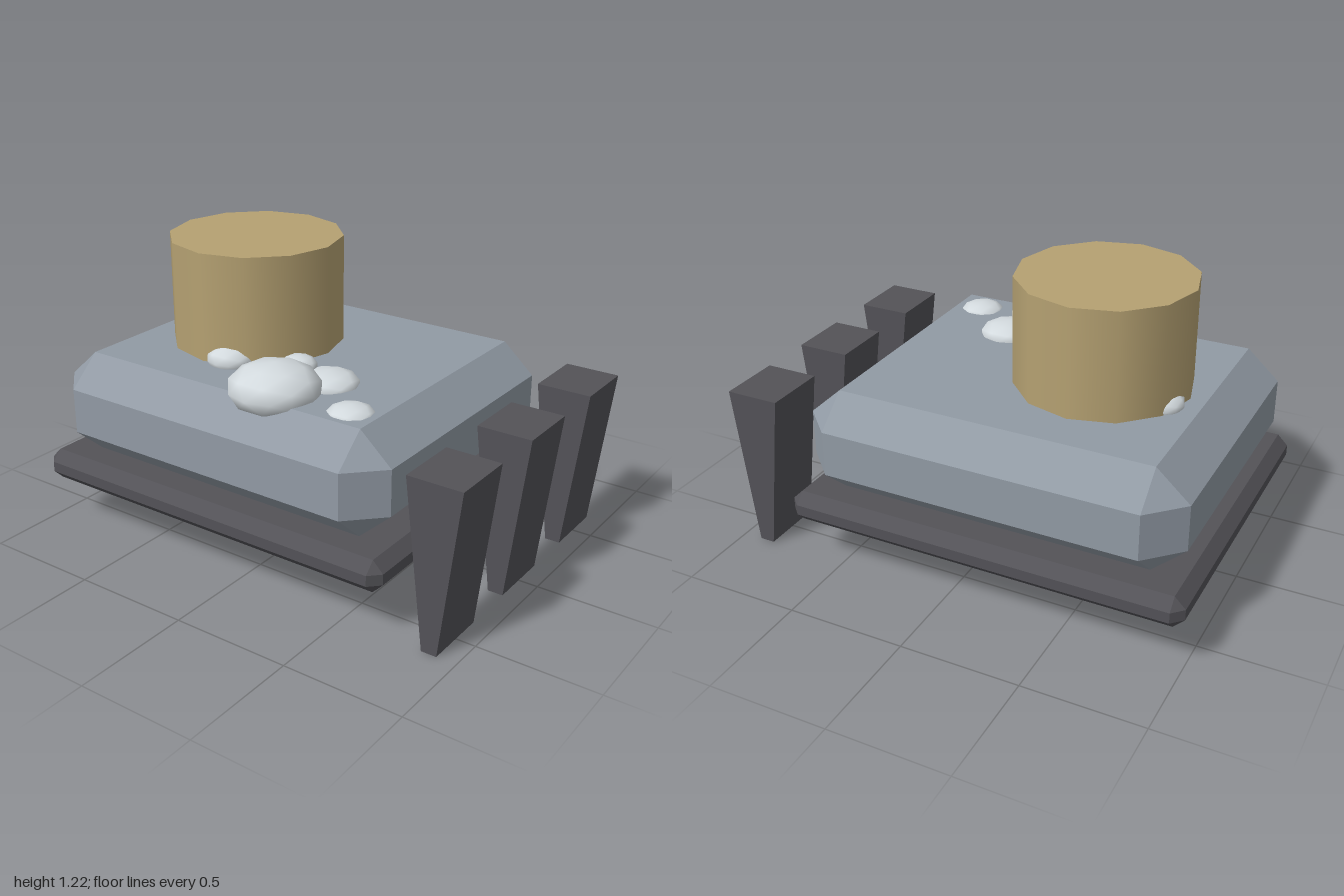
import * as THREE from 'three';
import { ConvexGeometry } from 'three/addons/geometries/ConvexGeometry.js';

const material = (name, color) => {
  const m = new THREE.MeshStandardMaterial({ color });
  m.name = name;
  return m;
};

// Box with all edges and corners cut: one cut along x and z, another along y
function chamferedBox(w, h, d, cut, cutY) {
  const points = [];
  for (const sx of [-1, 1]) for (const sy of [-1, 1]) for (const sz of [-1, 1]) {
    const x = w / 2, y = h / 2, z = d / 2;
    points.push(
      new THREE.Vector3(sx * x, sy * (y - cutY), sz * (z - cut)),
      new THREE.Vector3(sx * (x - cut), sy * y, sz * (z - cut)),
      new THREE.Vector3(sx * (x - cut), sy * (y - cutY), sz * z)
    );
  }
  return new ConvexGeometry(points);
}

export function createModel() {
  const model = new THREE.Group();
  const charcoal = material('charcoal', 0x535257);
  const slate = material('slate', 0x919aa4);
  const tan = material('tan', 0xb5a172);
  const paleStone = material('pale stone', 0xd3dade);

  const add = (name, geometry, mat, x, y, z) => {
    const mesh = new THREE.Mesh(geometry, mat);
    mesh.name = name;
    mesh.position.set(x, y, z);
    model.add(mesh);
    return mesh;
  };

  // Stacked slabs
  add('basePlate', chamferedBox(1.42, 0.135, 1.7, 0.045, 0.045), charcoal, 0, 0.257, -0.15);
  add('body', chamferedBox(1.376, 0.44, 1.61, 0.138, 0.138 * 0.9), slate, 0, 0.544, -0.15);

  // Drum on the rear half
  add('drum', new THREE.CylinderGeometry(0.367, 0.367, 0.48, 12), tan, 0, 0.98, -0.384);

  // Front posts, tapering in depth towards the ground
  const post = new THREE.BoxGeometry(0.274, 0.69, 0.23).toNonIndexed();
  const p = post.attributes.position;
  for (let i = 0; i < p.count; i++) {
    if (p.getY(i) < 0) p.setZ(i, p.getZ(i) * 0.28);
  }
  post.computeVertexNormals();
  for (const x of [-0.504, 0, 0.504]) add('frontPost', post, charcoal, x, 0.345, 0.885);

  // Flattened stones: x, y, z, radius, half height
  const stone = new THREE.IcosahedronGeometry(1, 1);
  const stones = [
    [-0.452, 0.782, 0.055, 0.19, 0.105],
    [-0.257, 0.76, 0.17, 0.128, 0.056],
    [-0.257, 0.802, 0.025, 0.077, 0.045],
    [-0.44, 0.75, 0.4, 0.097, 0.043],
    [-0.3, 0.78, -0.285, 0.105, 0.06],
    [0.095, 0.775, -0.665, 0.095, 0.05]
  ];
  for (const [x, y, z, r, h] of stones) {
    add('stone', stone, paleStone, x, y, z).scale.set(r, h, r);
  }

  return model;
}
